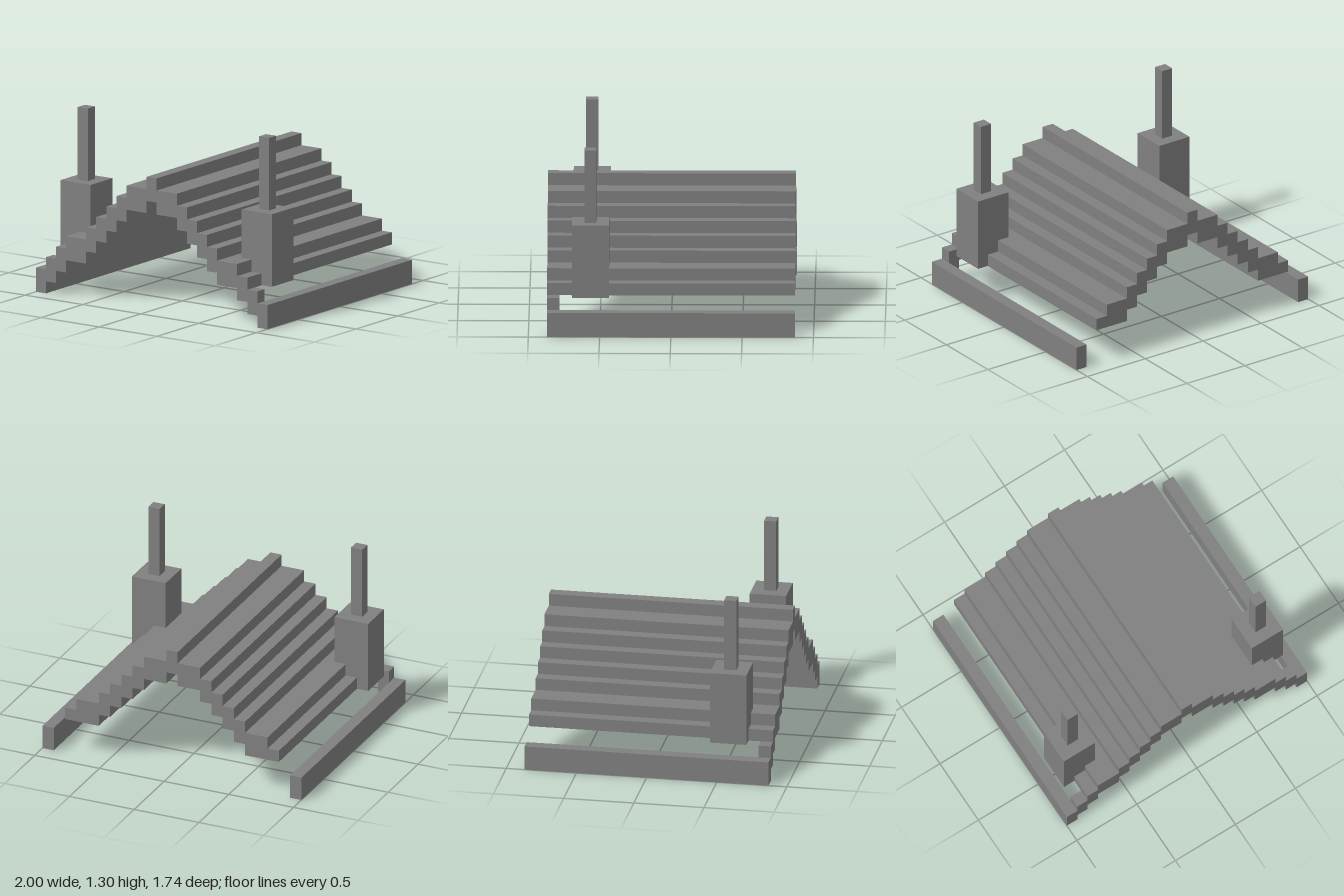
import * as THREE from 'three';

const U = 2 / 23; // edge of one building block

export function createModel() {
  const model = new THREE.Group();
  model.name = 'steppedRoof';
  const grey = new THREE.MeshStandardMaterial({ color: 0x808080 });
  grey.name = 'stone grey';

  // Box given by its limits in block units
  const box = (parent, name, [x0, x1], [y0, y1], [z0, z1]) => {
    const geo = new THREE.BoxGeometry((x1 - x0) * U, (y1 - y0) * U, (z1 - z0) * U);
    const mesh = new THREE.Mesh(geo, grey);
    mesh.position.set((x0 + x1) / 2 * U, (y0 + y1) / 2 * U, (z0 + z1) / 2 * U);
    mesh.name = name;
    parent.add(mesh);
  };

  // Roof: bottom and top of each column, from the eave to the ridge
  const half = [[3, 4], [3, 5], [3, 5], [4, 6], [5, 7], [6, 8], [7, 9], [8, 10], [8, 10]];
  const columns = [...half, [9, 11], ...half.slice().reverse()];
  const lower = [], upper = [];
  const add = (list, x, y) => {
    const n = list.length;
    // Merge level runs so each tread stays one face
    if (n > 1 && list[n - 1].y === y * U && list[n - 2].y === y * U) list.pop();
    list.push(new THREE.Vector2(x * U, y * U));
  };
  columns.forEach(([bottom, top], i) => {
    const x = i - 9.5;
    for (const [list, y] of [[lower, bottom], [upper, top]]) {
      const last = list[list.length - 1];
      if (!last || last.y !== y * U) add(list, x, y);
      add(list, x + 1, y);
    }
  });
  const outline = new THREE.Shape([...lower, ...upper.reverse()]);
  const roofGeo = new THREE.ExtrudeGeometry(outline, { depth: 20 * U, bevelEnabled: false });
  roofGeo.translate(0, 0, -10 * U);
  const roof = new THREE.Mesh(roofGeo, grey);
  roof.name = 'roof';
  model.add(roof);

  // Base rail, front steps and tower on each side
  for (const s of [-1, 1]) {
    const side = new THREE.Group();
    side.name = s > 0 ? 'leftSide' : 'rightSide';
    const span = (a, b) => (s > 0 ? [a, b] : [-b, -a]);
    box(side, 'baseRail', span(10.5, 11.5), [0, 2], [-10, 10]);
    box(side, 'lowerStep', span(9.5, 10.5), [1, 3], [9, 10]);
    box(side, 'upperStep', span(8.5, 9.5), [2, 3], [9, 10]);
    box(side, 'tower', span(7.5, 10.5), [3, 9], [5, 8]);
    box(side, 'towerPole', span(8.5, 9.5), [9, 15], [6, 7]);
    model.add(side);
  }
  return model;
}
